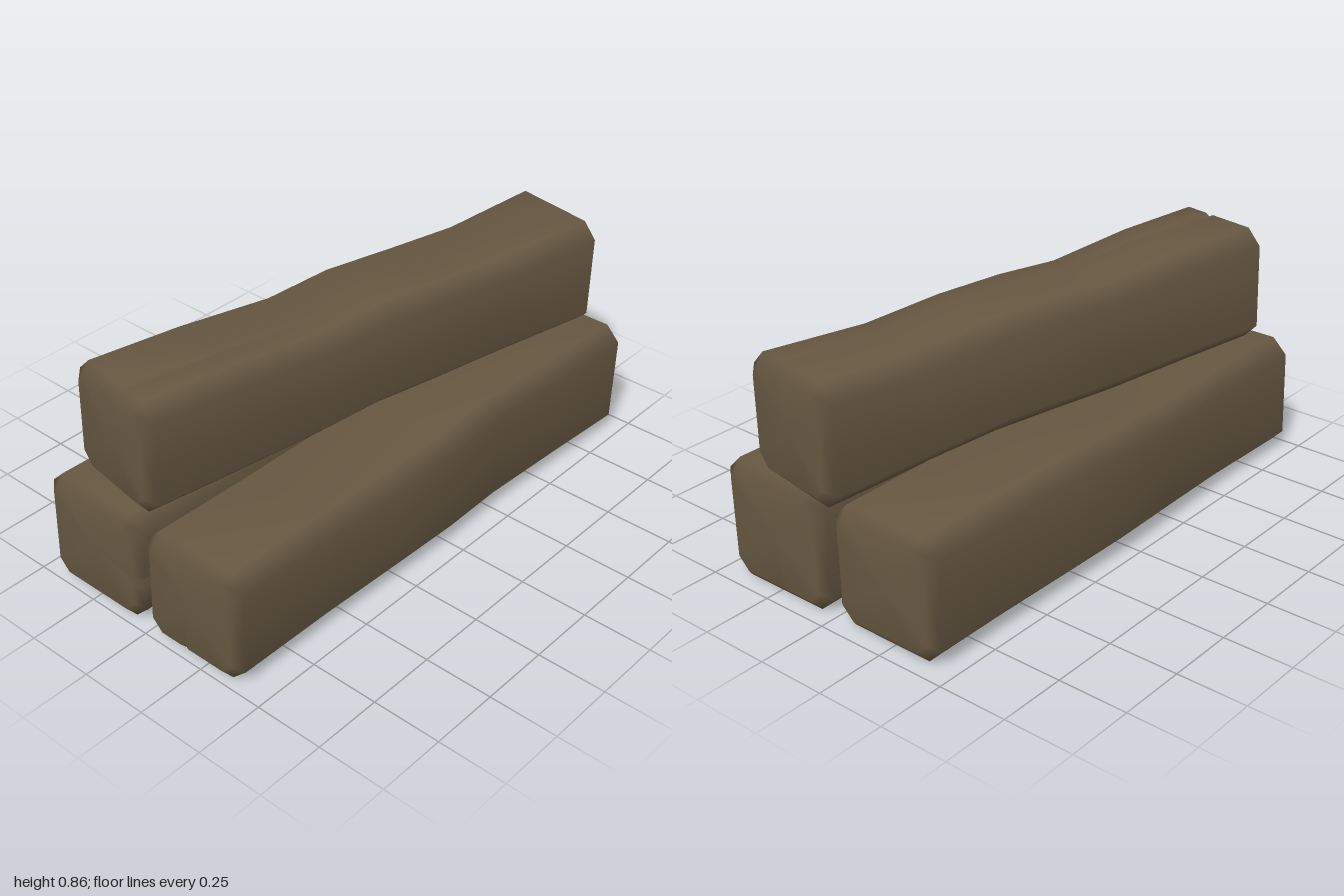
import * as THREE from 'three';

const BEVEL = 0.055;

// One bevelled cross-section, counter-clockwise from the front. A shallow crack
// can run along one side: 0 bottom, 1 right, 2 top, 3 left.
function section([z, l, r, b, t, crackDepth = 0], inset, lean, crack) {
  l += inset; r -= inset; b += inset; t -= inset;
  const c = BEVEL - inset * 0.4;
  const sides = [
    [[l + c, b], [r - c, b], [0, 1]],
    [[r, b + c], [r, t - c], [-1, 0]],
    [[r - c, t], [l + c, t], [0, -1]],
    [[l, t - c], [l, b + c], [1, 0]],
  ];
  const points = [];
  sides.forEach(([p, q, inward], i) => {
    points.push(p);
    if (i === crack.side) {
      for (const [offset, depth] of [[-0.06, 0], [0, crackDepth], [0.06, 0]]) {
        const f = crack.at + offset;
        points.push([0, 1].map(k => p[k] + (q[k] - p[k]) * f + inward[k] * depth));
      }
    }
    points.push(q);
  });
  const mid = (b + t) / 2;
  return points.map(([x, y]) => [x + lean * (y - mid), y, z]);
}

// Skin a hewn beam through its stations [z, left, right, bottom, top, crackDepth]
function beamGeometry(stations, lean, crack) {
  const first = stations[0], last = stations[stations.length - 1];
  const shift = (s, dz) => [s[0] + dz, ...s.slice(1)];
  const rings = [
    section(shift(first, 0.03), 0.035, lean, crack),
    ...stations.map(s => section(s, 0, lean, crack)),
    section(shift(last, -0.03), 0.035, lean, crack),
  ];
  const n = rings[0].length, index = [];
  for (let i = 0; i < rings.length - 1; i++) {
    for (let j = 0; j < n; j++) {
      const a = i * n + j, b = i * n + (j + 1) % n;
      index.push(a, a + n, b, b, a + n, b + n);
    }
  }
  // Flat end caps
  const centre = s => [(s[1] + s[2]) / 2, (s[3] + s[4]) / 2];
  const front = rings.length * n, back = front + 1, tail = front - n;
  const positions = [
    ...rings.flat(),
    [...centre(first), first[0] + 0.03],
    [...centre(last), last[0] - 0.03],
  ].flat();
  for (let j = 0; j < n; j++) {
    const k = (j + 1) % n;
    index.push(front, j, k, back, tail + k, tail + j);
  }
  const geometry = new THREE.BufferGeometry();
  geometry.setAttribute('position', new THREE.Float32BufferAttribute(positions, 3));
  geometry.setIndex(index);
  geometry.computeVertexNormals();
  return geometry;
}

export function createModel() {
  const wood = new THREE.MeshStandardMaterial({ name: 'dark wood', color: 0x665741 });
  const model = new THREE.Group();
  model.name = 'timberStack';

  const addBeam = (name, stations, lean, crack) => {
    const mesh = new THREE.Mesh(beamGeometry(stations, lean, crack), wood);
    mesh.name = name;
    model.add(mesh);
    return mesh;
  };

  // Two beams on the ground
  addBeam('rightLowerBeam', [
    [0.96, -0.445, -0.02, 0.01, 0.432, 0.02],
    [0.6, -0.44, -0.022, 0.012, 0.427, 0.01],
    [0.25, -0.452, -0.03, 0.018, 0.425],
    [0, -0.462, -0.035, 0.022, 0.438],
    [-0.25, -0.455, -0.025, 0.018, 0.443],
    [-0.6, -0.446, -0.018, 0.014, 0.435],
    [-0.93, -0.443, -0.02, 0.01, 0.435],
  ], 0.03, { side: 1, at: 0.36 });

  addBeam('leftLowerBeam', [
    [0.96, 0, 0.416, 0.008, 0.43, 0.015],
    [0.6, 0.003, 0.42, 0.01, 0.425, 0.008],
    [0.25, 0.008, 0.436, 0.017, 0.428],
    [0, 0.01, 0.446, 0.022, 0.443],
    [-0.25, 0.01, 0.437, 0.018, 0.45],
    [-0.6, 0.015, 0.447, 0.012, 0.438],
    [-0.93, 0.02, 0.458, 0.004, 0.436],
  ], 0.03, { side: 0, at: 0.38 });

  // Third beam laid askew on top
  const top = addBeam('upperBeam', [
    [0.93, -0.205, 0.2, 0.445, 0.86, 0.018],
    [0.6, -0.2, 0.2, 0.442, 0.852, 0.009],
    [0.25, -0.195, 0.19, 0.436, 0.826],
    [0, -0.2, 0.19, 0.447, 0.84],
    [-0.25, -0.185, 0.2, 0.442, 0.834],
    [-0.55, -0.19, 0.198, 0.43, 0.815],
    [-0.93, -0.205, 0.205, 0.415, 0.828],
  ], 0.03, { side: 2, at: 0.35 });
  top.position.set(-0.008, 0, -0.012);
  top.rotation.y = -0.158;

  return model;
}
